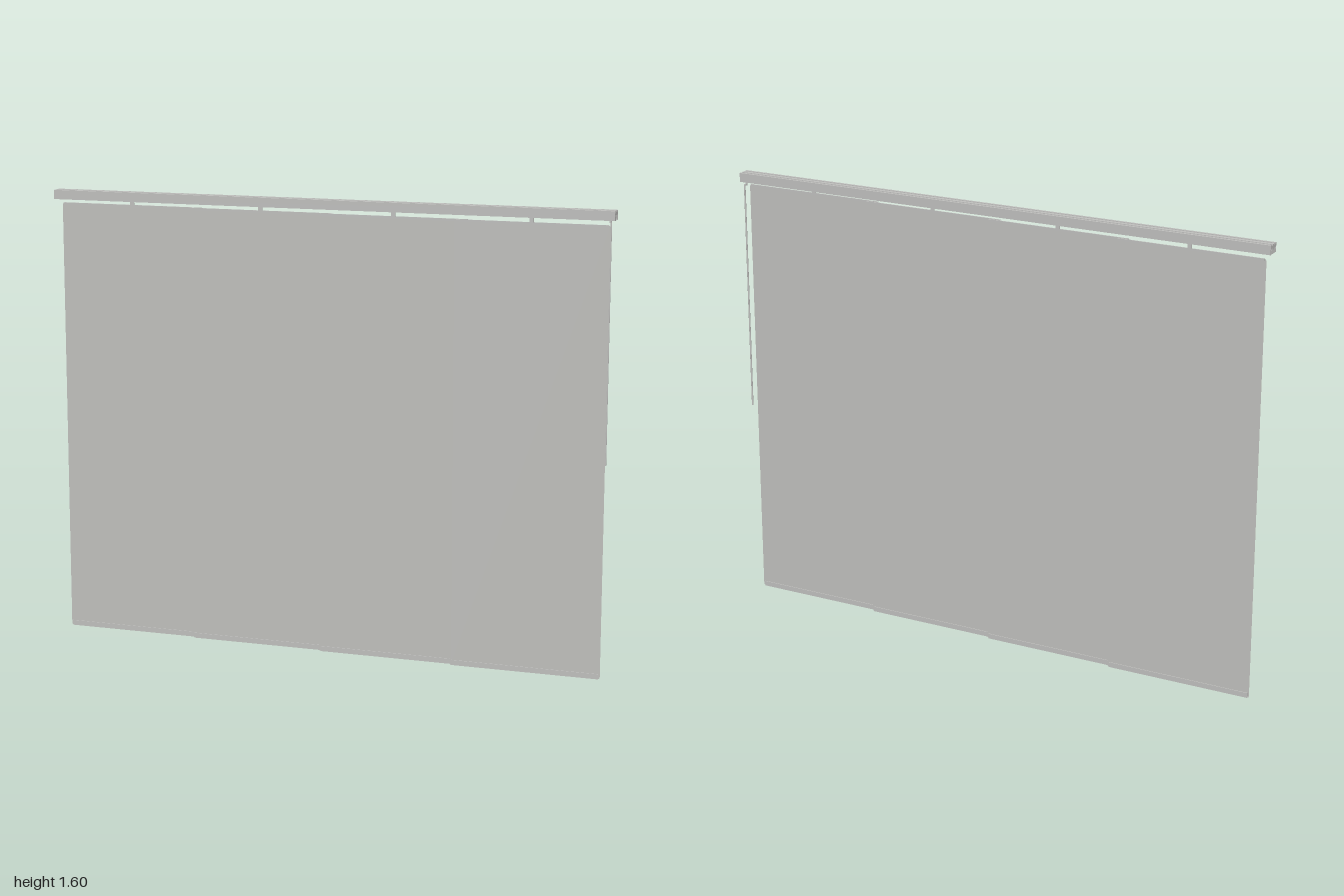
import * as THREE from 'three';

const grey = new THREE.MeshStandardMaterial({ color: 0xbfbfbd });
grey.name = 'light grey';
const fabricGrey = new THREE.MeshStandardMaterial({ color: 0xbfbfbc, side: THREE.DoubleSide });
fabricGrey.name = 'fabric grey';

const RAIL_Z = 0.004;      // rail centre in depth
const RAIL_HALF = 0.0235;  // half depth of the rail
const TRACK = 0.0115;      // spacing between tracks
const PANEL_W = 0.53;
const PANEL_TOP = 1.55;

function add(parent, name, geometry, material, x, y, z) {
  const mesh = new THREE.Mesh(geometry, material);
  mesh.name = name;
  mesh.position.set(x, y, z);
  parent.add(mesh);
  return mesh;
}

const box = (w, h, d) => new THREE.BoxGeometry(w, h, d);

// Extruded head rail: one channel open downward for each track, shallow grooves on top
function headRailGeometry() {
  const s = new THREE.Shape();
  const top = 1.597, bottom = 1.565, h = RAIL_HALF;
  s.moveTo(-h, bottom);
  for (let i = 0; i < 4; i++) {
    const c = (i - 1.5) * TRACK;
    s.lineTo(c - 0.003, bottom);
    s.lineTo(c - 0.003, bottom + 0.018);
    s.lineTo(c + 0.003, bottom + 0.018);
    s.lineTo(c + 0.003, bottom);
  }
  s.lineTo(h, bottom);
  s.lineTo(h, top);
  for (const c of [0.011, -0.011]) {
    s.lineTo(c + 0.004, top);
    s.lineTo(c + 0.004, top - 0.004);
    s.lineTo(c - 0.004, top - 0.004);
    s.lineTo(c - 0.004, top);
  }
  s.lineTo(-h, top);
  s.closePath();
  const g = new THREE.ExtrudeGeometry(s, { depth: 2, bevelEnabled: false });
  g.translate(0, 0, -1);
  g.rotateY(Math.PI / 2);
  return g;
}

// Flat cloth with slightly rounded corners, standing on y = 0
function clothGeometry() {
  const w = PANEL_W / 2, r = 0.01, s = new THREE.Shape();
  s.moveTo(-w + r, 0);
  s.lineTo(w - r, 0);
  s.quadraticCurveTo(w, 0, w, r);
  s.lineTo(w, PANEL_TOP - r);
  s.quadraticCurveTo(w, PANEL_TOP, w - r, PANEL_TOP);
  s.lineTo(-w + r, PANEL_TOP);
  s.quadraticCurveTo(-w, PANEL_TOP, -w, PANEL_TOP - r);
  s.lineTo(-w, r);
  s.quadraticCurveTo(-w, 0, -w + r, 0);
  return new THREE.ShapeGeometry(s, 4);
}

export function createModel() {
  const model = new THREE.Group();
  model.name = 'panelBlind';

  add(model, 'headRail', headRailGeometry(), grey, 0, 0, RAIL_Z);

  // Four overlapping panels, each on its own track from back to front
  const cloth = clothGeometry();
  for (let i = 0; i < 4; i++) {
    const panel = new THREE.Group();
    panel.name = 'panel' + (i + 1);
    panel.position.set((i - 1.5) * 0.48, 0, RAIL_Z + (i - 1.5) * TRACK);
    model.add(panel);
    add(panel, 'cloth', cloth, fabricGrey, 0, 0, 0);
    add(panel, 'bottomBar', box(PANEL_W - 0.012, 0.018, 0.006), grey, 0, 0.01, 0);
    add(panel, 'topBar', box(PANEL_W - 0.012, 0.008, 0.004), grey, 0, PANEL_TOP - 0.004, 0);
    add(panel, 'carrier', box(0.014, 0.03, 0.004), grey, 0, PANEL_TOP + 0.013, 0);
  }

  // Pull wand behind the left end, with its short hook into the rail
  const wand = new THREE.Group();
  wand.name = 'wand';
  wand.position.set(0.977, 0, -0.0245);
  model.add(wand);
  add(wand, 'rod', new THREE.CylinderGeometry(0.003, 0.003, 0.825, 12), grey, 0, 1.1475, 0);
  add(wand, 'hookArm', box(0.006, 0.004, 0.012), grey, 0, 1.557, 0.006);
  add(wand, 'hookPin', box(0.006, 0.014, 0.004), grey, 0, 1.561, 0.011);

  return model;
}
